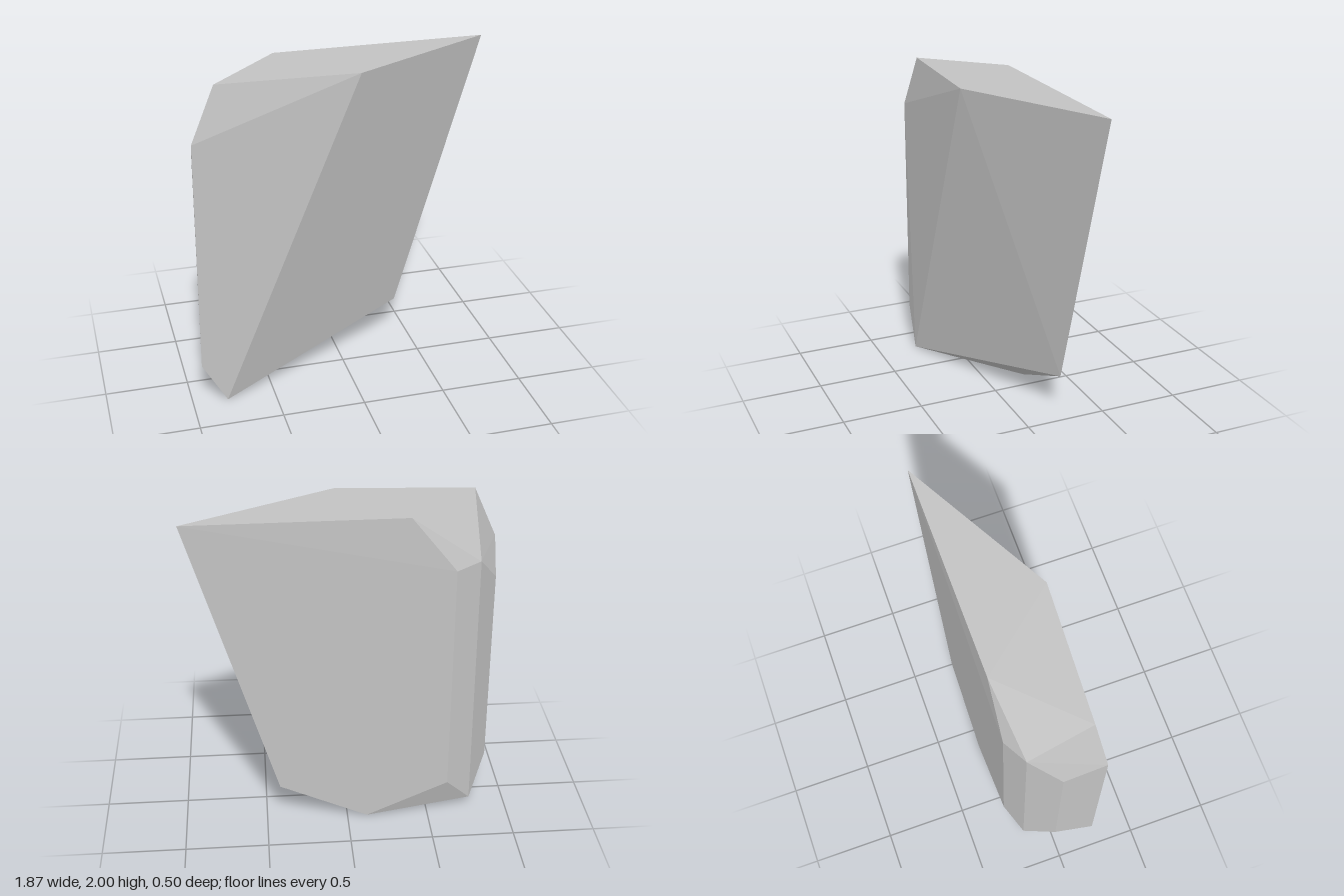
import * as THREE from 'three';
import { ConvexGeometry } from 'three/addons/geometries/ConvexGeometry.js';

export function createModel() {
  const group = new THREE.Group();
  group.name = 'rock';

  const stone = new THREE.MeshStandardMaterial({ color: 0xc2c2c2, flatShading: true });
  stone.name = 'stone grey';

  // Corners of the chiselled block
  const corners = [
    // top face
    [0.935, 2, -0.25], [0.045, 2, 0.235], [-0.78, 1.995, 0.195], [-0.355, 2, -0.24],
    // upper shoulder, front round to back
    [-0.925, 1.67, 0.235], [-0.895, 1.51, 0], [-0.77, 1.69, -0.17], [-0.62, 1.67, -0.25],
    // lower shoulder, front round to back
    [-0.935, 0.25, 0.235], [-0.895, 0.265, 0], [-0.775, 0.05, -0.17], [-0.62, 0.225, -0.25],
    // foot
    [-0.79, 0, 0.25], [-0.12, 0.005, -0.25], [0.415, 0.25, -0.25],
  ].map((p) => new THREE.Vector3(...p));

  const block = new THREE.Mesh(new ConvexGeometry(corners), stone);
  block.name = 'stoneBlock';
  group.add(block);
  return group;
}
